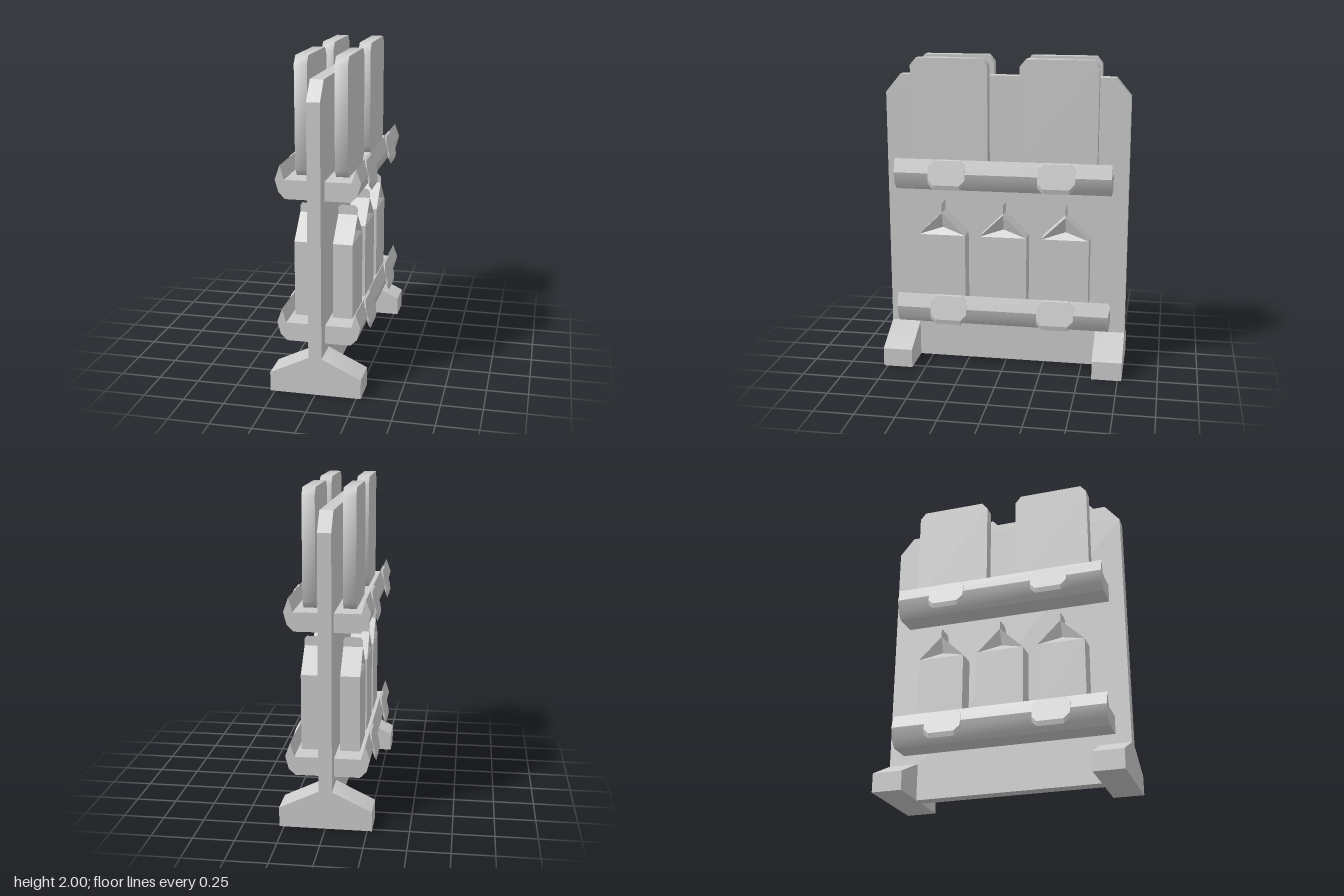
import * as THREE from 'three';
import { toCreasedNormals } from 'three/addons/utils/BufferGeometryUtils.js';
import { ConvexGeometry } from 'three/addons/geometries/ConvexGeometry.js';

const grey = new THREE.MeshStandardMaterial({ color: 0xcccccc, side: THREE.DoubleSide });
grey.name = 'plain grey';

function part(name, geometry, parent, x = 0, y = 0, z = 0) {
  const mesh = new THREE.Mesh(geometry, grey);
  mesh.name = name;
  mesh.position.set(x, y, z);
  parent.add(mesh);
  return mesh;
}

const outline = (points) => new THREE.Shape(points.map(([x, y]) => new THREE.Vector2(x, y)));

// Profile in x/y, extruded along z and centred on z = 0
function alongZ(points, depth, crease = 0.5) {
  const g = new THREE.ExtrudeGeometry(outline(points), { depth, bevelEnabled: false });
  g.translate(0, 0, -depth / 2);
  return toCreasedNormals(g, crease);
}

// Profile in z/y, extruded along x and centred on x = 0
const alongX = (points, depth, crease) => alongZ(points, depth, crease).rotateY(-Math.PI / 2);

// Carton roof: two slopes with folded-in gable ends
function cartonRoof() {
  const a = 0.06, b = 0.15, i = 0.025;
  const positions = [
    -a, 0, -b, a, 0, -b, a, 0, b, -a, 0, b,
    a, 0.145, 0, -a, 0.145, 0, i, 0.045, 0, -i, 0.045, 0,
  ];
  const g = new THREE.BufferGeometry();
  g.setAttribute('position', new THREE.Float32BufferAttribute(positions, 3));
  g.setIndex([
    3, 2, 4, 3, 4, 5, 1, 0, 5, 1, 5, 4,
    2, 1, 6, 2, 6, 4, 1, 4, 6,
    0, 3, 7, 3, 5, 7, 0, 7, 5,
  ]);
  const flat = g.toNonIndexed();
  flat.computeVertexNormals();
  return flat;
}

// Tilted eight-sided clip with a sloping underside, y measured from the tray bottom
function clipGeometry() {
  const points = [];
  const ring = (top, bottom, half, xAt) => {
    const c = 0.035;
    for (const s of [-1, 1]) {
      for (const [y, z] of [[top, half - c], [top - c, half], [bottom + c, half], [bottom, half - c]]) {
        points.push(new THREE.Vector3(xAt(y), y, s * z));
      }
    }
  };
  ring(0.195, 0.045, 0.117, (y) => 0.287 - 0.26 * y);
  ring(0.2, 0.015, 0.117, (y) => 0.272 - 0.25 * y);
  return new ConvexGeometry(points);
}

export function createModel() {
  const model = new THREE.Group();
  model.name = 'displayStand';

  // Central upright panel with clipped top corners
  part('panel', alongX([
    [-0.775, 0], [0.775, 0], [0.775, 1.77], [0.68, 1.885], [-0.68, 1.885], [-0.775, 1.77],
  ], 0.08), model);

  // Splayed feet at both ends
  const foot = alongZ([
    [-0.278, 0], [0.278, 0], [0.278, 0.12], [0.04, 0.235], [-0.04, 0.235], [-0.278, 0.12],
  ], 0.19);
  for (const s of [-1, 1]) part('foot', foot, model, 0, 0, s * 0.68);

  const tray = alongZ([
    [0.04, 0], [0.195, 0], [0.235, 0.04], [0.255, 0.115],
    [0.225, 0.2], [0.2, 0.115], [0.04, 0.115],
  ], 1.36, 0.55);
  const clip = clipGeometry();
  const board = alongX([
    [-0.205, 0], [0.205, 0], [0.2425, 0.045], [0.2425, 0.66],
    [0.205, 0.705], [-0.205, 0.705], [-0.2425, 0.66], [-0.2425, 0.045],
  ], 0.077, 0.9);
  const cartonBody = new THREE.BoxGeometry(0.12, 0.47, 0.3);
  const roof = cartonRoof();
  const fin = new THREE.ShapeGeometry(outline([
    [-0.06, 0], [0.06, 0], [0.06, 0.042], [0.045, 0.06], [-0.045, 0.06], [-0.06, 0.042],
  ]));

  // Both faces of the panel carry the same trays and goods
  for (const name of ['leftSide', 'rightSide']) {
    const side = new THREE.Group();
    side.name = name;
    if (name === 'rightSide') side.rotation.y = Math.PI;
    model.add(side);

    for (const y of [0.295, 1.18]) {
      part('tray', tray, side, 0, y, 0);
      for (const s of [-1, 1]) part('trayClip', clip, side, 0, y, s * 0.343);
    }
    // Upright boards on the upper tray
    for (const s of [-1, 1]) part('board', board, side, 0.119, 1.295, s * 0.3425);

    // Cartons on the lower tray
    for (const z of [-0.395, 0, 0.395]) {
      const carton = new THREE.Group();
      carton.name = 'carton';
      carton.position.set(0.119, 0.41, z);
      side.add(carton);
      part('cartonBody', cartonBody, carton, 0, 0.235, 0);
      part('cartonRoof', roof, carton, 0, 0.47, 0);
      part('cartonFin', fin, carton, 0, 0.615, 0);
    }
  }
  return model;
}
